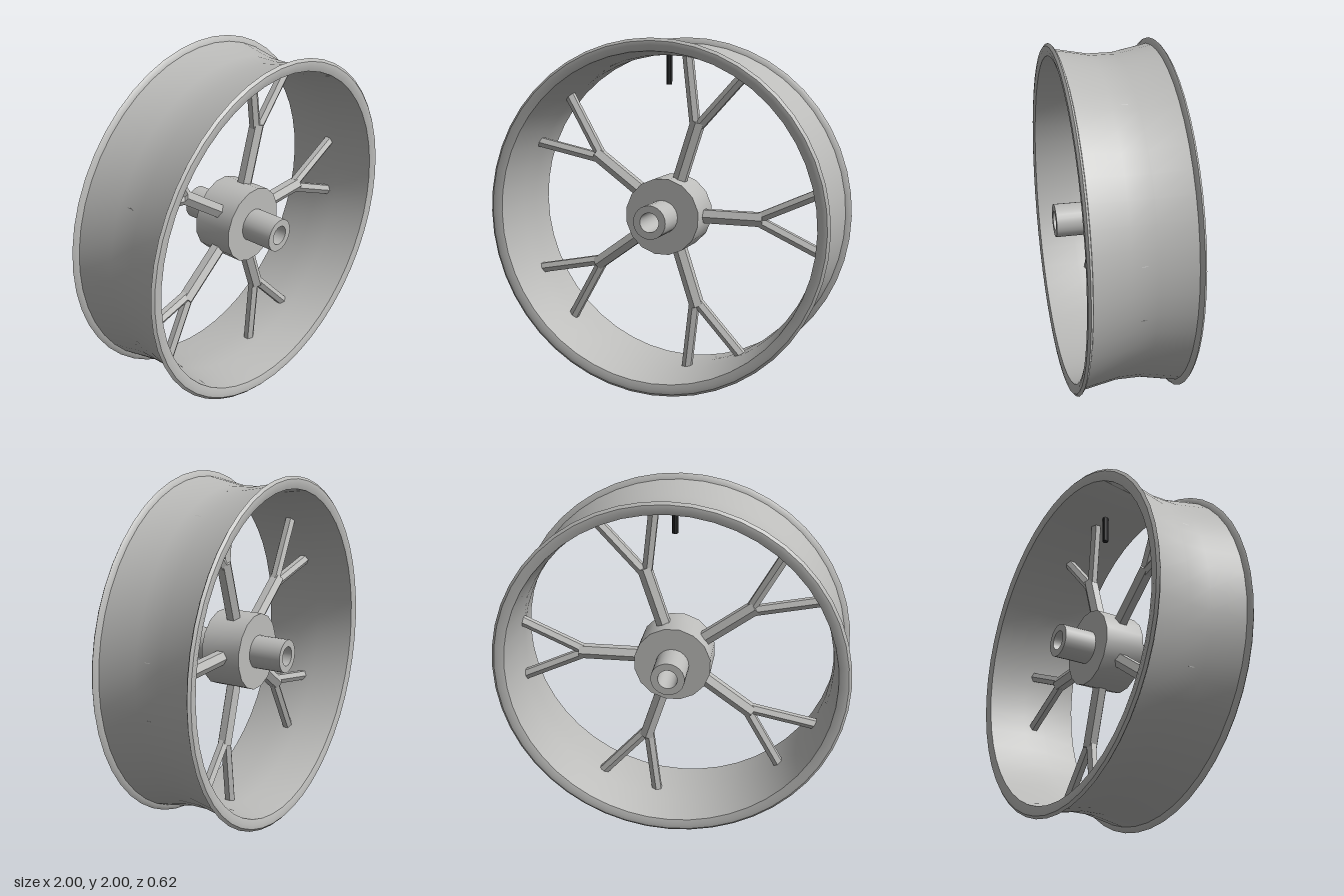
import * as THREE from 'three';
import { toCreasedNormals } from 'three/addons/utils/BufferGeometryUtils.js';

export function createModel() {
  const metal = new THREE.MeshStandardMaterial({ color: 0xbcbcba });
  metal.name = 'greyMetal';
  const rubber = new THREE.MeshStandardMaterial({ color: 0x262728 });
  rubber.name = 'blackRubber';

  const wheel = new THREE.Group();
  wheel.name = 'wheel';
  wheel.position.y = 1;

  const add = (parent, name, geometry, material = metal) => {
    const mesh = new THREE.Mesh(toCreasedNormals(geometry, 0.6), material);
    mesh.name = name;
    parent.add(mesh);
    return mesh;
  };

  // Closed [radius, z] profile turned about the wheel axis
  const turned = (profile, segments, start = 0) => {
    const points = profile.map(([r, z]) => new THREE.Vector2(r, z));
    points.push(points[0].clone());
    return new THREE.LatheGeometry(points, segments, start).rotateX(Math.PI / 2);
  };

  // Square-ended sleeve from inner to outer radius
  const sleeve = (inner, outer, half) =>
    [[outer, -half], [outer, half], [inner, half], [inner, -half]];

  // Rim: dished barrel with a rounded lip on each side
  const outerHalf = [[0.93, 0.07], [0.968, 0.268], [0.985, 0.273], [1, 0.285]];
  const innerHalf = [[0.985, 0.298], [0.962, 0.3], [0.93, 0.29], [0.905, 0.07]];
  const front = [...outerHalf, ...innerHalf];
  const back = front.map(([r, z]) => [r, -z]).reverse();
  add(wheel, 'rim', turned([...front, ...back], 48));

  // Hub and hollow axle
  add(wheel, 'hub', turned(sleeve(0.08, 0.22, 0.12), 16, Math.PI / 16));
  add(wheel, 'axle', turned(sleeve(0.055, 0.095, 0.31), 24));

  // Hexagonal bar between two points in the wheel plane, ridge facing forward
  const bar = (x0, y0, x1, y1, radius) => {
    const length = Math.hypot(x1 - x0, y1 - y0);
    return new THREE.CylinderGeometry(radius, radius, length, 6)
      .rotateZ(Math.atan2(y1 - y0, x1 - x0) - Math.PI / 2)
      .translate((x0 + x1) / 2, (y0 + y1) / 2, 0);
  };

  // Five forked spokes
  for (let i = 0; i < 5; i++) {
    const spoke = new THREE.Group();
    spoke.name = 'spoke' + (i + 1);
    spoke.rotation.z = (i * Math.PI * 2) / 5;
    add(spoke, 'spokeStem', bar(0.18, 0, 0.56, 0, 0.044));
    for (const side of [1, -1]) {
      add(spoke, 'spokeBranch', bar(0.545, side * 0.014, 0.905, side * 0.178, 0.032));
    }
    wheel.add(spoke);
  }

  // Valve stem hanging from the top of the barrel
  add(wheel, 'valve', new THREE.CylinderGeometry(0.018, 0.018, 0.175, 8)
    .translate(0, 0.8275, 0), rubber);

  const model = new THREE.Group();
  model.name = 'spokedWheel';
  model.add(wheel);
  return model;
}
